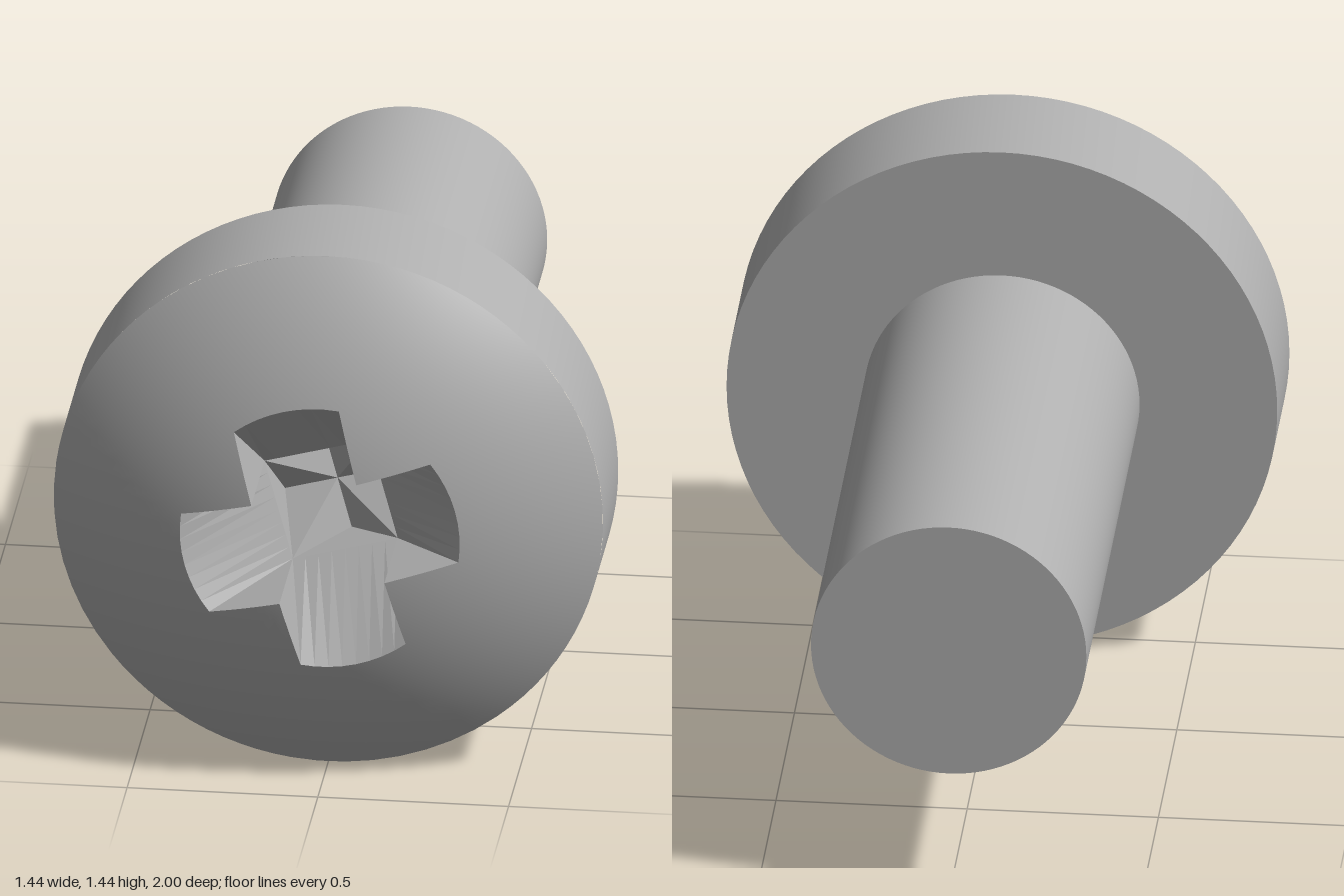
import * as THREE from 'three';
import { toCreasedNormals } from 'three/addons/utils/BufferGeometryUtils.js';

const HEAD_R = 0.72, SHAFT_R = 0.36, RIM_Z = 0.77, SEAT_Z = 0.44;
const SPHERE_R = 1.17, SPHERE_Z = RIM_Z - Math.sqrt(SPHERE_R ** 2 - HEAD_R ** 2);
const ARM_R = 0.367, HALF_W = 0.1425;         // reach and half width of the cross recess
const FLOOR_Z = 0.71, TIP_Z = 0.57;           // depth where arms end, depth of the centre
const TURN = Math.PI / 12;                    // the cross is turned by 15 degrees
const ARM_ANGLE = Math.asin(HALF_W / ARM_R);

const domeZ = (r) => SPHERE_Z + Math.sqrt(SPHERE_R ** 2 - r * r);
const holeR = (phi) => Math.min(ARM_R, HALF_W / Math.max(Math.abs(Math.sin(phi)), 1e-6));
const range = (a, b, n) => Array.from({ length: n + 1 }, (_, i) => a + (b - a) * i / n);

// Angles across one arm, from one inner corner of the cross to the next
const Q = Math.PI / 4;
const wallAngles = range(ARM_ANGLE, Q, 6);
const arcAngles = range(-ARM_ANGLE, ARM_ANGLE, 8);
const armAngles = [
  ...wallAngles.map((a) => -a).reverse(),
  ...arcAngles.slice(1, -1),
  ...wallAngles,
];

// Spherical cap with a cross-shaped opening
function domeGeometry() {
  const rings = 12, pos = [], nor = [], idx = [];
  const angles = [];
  for (let k = 0; k < 4; k++) {
    for (const phi of armAngles.slice(0, -1)) angles.push([phi, TURN + k * Math.PI / 2]);
  }
  for (const [phi, base] of angles) {
    for (let j = 0; j <= rings; j++) {
      const r = THREE.MathUtils.lerp(holeR(phi), HEAD_R, j / rings);
      const x = r * Math.cos(phi + base), y = r * Math.sin(phi + base), z = domeZ(r);
      pos.push(x, y, z);
      nor.push(x / SPHERE_R, y / SPHERE_R, (z - SPHERE_Z) / SPHERE_R);
    }
  }
  const row = rings + 1;
  for (let i = 0; i < angles.length; i++) {
    const next = (i + 1) % angles.length;
    for (let j = 0; j < rings; j++) {
      const a = i * row + j, b = next * row + j;
      idx.push(a, a + 1, b + 1, a, b + 1, b);
    }
  }
  const g = new THREE.BufferGeometry();
  g.setAttribute('position', new THREE.Float32BufferAttribute(pos, 3));
  g.setAttribute('normal', new THREE.Float32BufferAttribute(nor, 3));
  g.setIndex(idx);
  return g;
}

// One arm of the recess along +x, with its quarter of the pointed centre
function recessArmGeometry() {
  const pos = [];
  const tri = (...pts) => pts.forEach((p) => pos.push(...p));
  const rim = (phi) => {
    const r = holeR(phi);
    return [r * Math.cos(phi), r * Math.sin(phi), domeZ(r)];
  };
  // sloping floor
  for (let i = 0; i < arcAngles.length - 1; i++) {
    const a = rim(arcAngles[i]), b = rim(arcAngles[i + 1]);
    const c = [HALF_W, b[1], FLOOR_Z], d = [HALF_W, a[1], FLOOR_Z];
    tri(a, b, c);
    tri(a, c, d);
  }
  // upright side walls
  const left = [HALF_W, HALF_W, FLOOR_Z], right = [HALF_W, -HALF_W, FLOOR_Z];
  for (let i = 0; i < wallAngles.length - 1; i++) {
    const outer = wallAngles[i], inner = wallAngles[i + 1];
    tri(left, rim(outer), rim(inner));
    tri(right, rim(-inner), rim(-outer));
  }
  // V-shaped groove running into the centre
  const mid = [HALF_W, 0, TIP_Z], centre = [0, 0, TIP_Z];
  tri(centre, mid, left);
  tri(centre, right, mid);
  tri(right, left, mid);
  const g = new THREE.BufferGeometry();
  g.setAttribute('position', new THREE.Float32BufferAttribute(pos, 3));
  g.computeVertexNormals();
  return g;
}

export function createModel() {
  const metal = new THREE.MeshStandardMaterial({ color: 0xb0b0b0 });
  metal.name = 'grey metal';
  const model = new THREE.Group();
  model.name = 'screw';
  const add = (name, geometry, parent = model) => {
    const mesh = new THREE.Mesh(geometry, metal);
    mesh.name = name;
    mesh.position.y = parent === model ? HEAD_R : 0;
    parent.add(mesh);
    return mesh;
  };

  // Plain round shaft
  const length = SEAT_Z + 1;
  add('shaft', new THREE.CylinderGeometry(SHAFT_R, SHAFT_R, length, 96)
    .rotateX(Math.PI / 2).translate(0, 0, length / 2 - 1));

  // Flat underside and straight rim of the head
  const profile = [[SHAFT_R - 0.02, SEAT_Z], [HEAD_R, SEAT_Z], [HEAD_R, RIM_Z]]
    .map(([r, z]) => new THREE.Vector2(r, z));
  add('headRim', toCreasedNormals(new THREE.LatheGeometry(profile, 96), 0.6).rotateX(Math.PI / 2));

  add('headDome', domeGeometry());

  // Cross recess from four equal arms
  const recess = new THREE.Group();
  recess.name = 'crossRecess';
  recess.position.y = HEAD_R;
  model.add(recess);
  const arm = recessArmGeometry();
  for (let k = 0; k < 4; k++) {
    add('recessArm', arm, recess).rotation.z = TURN + k * Math.PI / 2;
  }
  return model;
}
